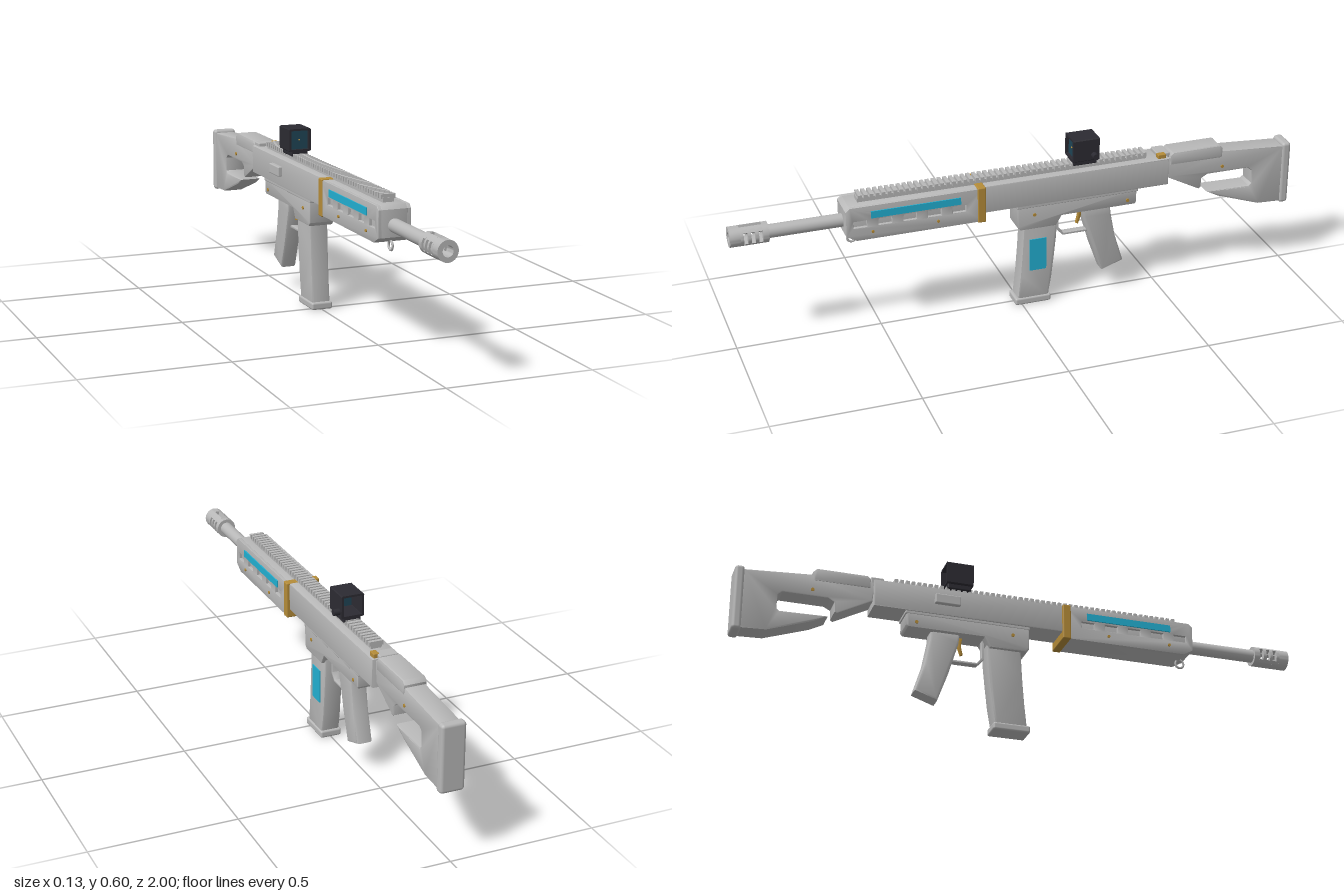
import * as THREE from 'three';
import { mergeGeometries, toCreasedNormals } from 'three/addons/utils/BufferGeometryUtils.js';
import { RoundedBoxGeometry } from 'three/addons/geometries/RoundedBoxGeometry.js';

const material = (name, color) => Object.assign(new THREE.MeshStandardMaterial({ color }), { name });

// Side profile of [z, y] points, extruded across x and centred, with rounded edges
function profile(points, width, bevel = 0.006, holes = []) {
  const shape = new THREE.Shape(points.map(p => new THREE.Vector2(...p)));
  for (const h of holes) shape.holes.push(new THREE.Path(h.map(p => new THREE.Vector2(...p))));
  const depth = width - 2 * bevel;
  const g = new THREE.ExtrudeGeometry(shape, {
    depth, bevelEnabled: bevel > 0, bevelThickness: bevel, bevelSize: bevel,
    bevelOffset: -bevel, bevelSegments: 2,
  });
  g.translate(0, 0, -depth / 2).rotateY(-Math.PI / 2);
  return toCreasedNormals(g, 0.75);
}
const rect = (z0, z1, y0, y1) => [[z0, y0], [z1, y0], [z1, y1], [z0, y1]];

// Rounded box given by its limits
function block(x0, x1, y0, y1, z0, z1, r = 0.004) {
  const g = r ? new RoundedBoxGeometry(x1 - x0, y1 - y0, z1 - z0, 2, r)
    : new THREE.BoxGeometry(x1 - x0, y1 - y0, z1 - z0);
  return g.translate((x0 + x1) / 2, (y0 + y1) / 2, (z0 + z1) / 2);
}
const rod = (r, z0, z1, y) => new THREE.CylinderGeometry(r, r, z1 - z0, 32)
  .rotateX(Math.PI / 2).translate(0, y, (z0 + z1) / 2);
const pin = (r, x0, x1, y, z) => new THREE.CylinderGeometry(r, r, x1 - x0, 16)
  .rotateZ(Math.PI / 2).translate((x0 + x1) / 2, y, z);

// Part of a tube wall around the barrel axis, angles in degrees
function sector(a0, a1, z0, z1, ro, ri, y) {
  const s = new THREE.Shape(), a = a0 * Math.PI / 180, b = a1 * Math.PI / 180;
  s.absarc(0, 0, ro, a, b, false);
  s.absarc(0, 0, ri, b, a, true);
  const g = new THREE.ExtrudeGeometry(s, { depth: z1 - z0, bevelEnabled: false, curveSegments: 16 });
  return toCreasedNormals(g.translate(0, y, z0), 0.6);
}

export function createModel() {
  const root = new THREE.Group();
  root.name = 'rifle';
  const grey = material('body grey', 0xb8b8b8);
  const gold = material('gold', 0xb58c38);
  const cyan = material('cyan', 0x22b0d2);
  const dark = material('sight black', 0x2c2b32);
  const glass = material('lens teal', 0x1f4556);
  const add = (name, geometry, mat = grey) => {
    const m = new THREE.Mesh(geometry, mat);
    m.name = name;
    root.add(m);
    return m;
  };
  const axis = 0.42;

  // Barrel and slotted muzzle brake
  add('barrel', rod(0.023, 0.58, 0.885, axis));
  const brake = [sector(0, 360, 0.87, 0.89, 0.035, 0.018, axis), sector(0, 360, 0.965, 1, 0.035, 0.018, axis)];
  for (let i = 0; i < 3; i++) {
    const z = 0.89 + i * 0.025;
    for (const [a, b] of [[35, 76], [104, 145], [215, 325]])
      brake.push(sector(a, b, z, z + 0.014, 0.035, 0.018, axis));
    brake.push(sector(104, 436, z + 0.014, z + 0.025, 0.035, 0.018, axis));
  }
  add('muzzleBrake', mergeGeometries(brake));

  // Handguard: core with slotted side plates
  const guard = [[0.145, 0.362], [0.585, 0.362], [0.62, 0.382], [0.62, 0.472], [0.606, 0.485], [0.145, 0.485]];
  add('handguardCore', profile(guard, 0.092, 0.003));
  const slots = [0, 1, 2, 3, 4].map(i => rect(0.207 + i * 0.0855, 0.253 + i * 0.0855, 0.41, 0.433));
  for (const s of [1, -1]) {
    add('handguardSide', profile(guard, 0.014, 0.003, slots)).position.x = s * 0.05;
    add('handguardStripe', block(-0.003, 0.003, 0.44, 0.465, 0.225, 0.535, 0), cyan).position.x = s * 0.058;
    for (const z of [0.305, 0.53])
      add('handguardRivet', pin(0.005, -0.003, 0.003, 0.39, z), gold).position.x = s * 0.058;
  }
  add('handguardBand', block(-0.061, 0.061, 0.36, 0.489, 0.137, 0.166), gold);
  const loop = new THREE.TorusGeometry(0.015, 0.004, 10, 24).rotateY(Math.PI / 2);
  add('slingLoop', loop.translate(0, 0.35, 0.59));

  // Upper and lower receiver
  add('upperReceiver', profile(rect(-0.53, 0.145, 0.388, 0.487), 0.1, 0.005));
  add('lowerReceiver', profile([[0.02, 0.392], [0.02, 0.308], [0.008, 0.295], [-0.12, 0.295],
    [-0.14, 0.33], [-0.408, 0.33], [-0.415, 0.338], [-0.415, 0.392]], 0.09));
  add('receiverLip', block(-0.046, 0.046, 0.378, 0.392, -0.419, 0.022, 0.003));
  for (const s of [1, -1]) for (const z of [-0.04, -0.38])
    add('receiverPin', pin(0.006, -0.003, 0.003, 0.35, z), gold).position.x = s * 0.045;
  add('boltCover', block(-0.064, -0.045, 0.425, 0.46, -0.32, -0.23));

  // Charging handle at the rear of the receiver
  add('chargingHandle', block(-0.037, 0.028, 0.475, 0.5, -0.54, -0.495));
  add('chargingLatch', block(0.02, 0.041, 0.483, 0.502, -0.522, -0.492, 0.003), gold);

  // Top rail with cross teeth
  const rail = [block(-0.019, 0.019, 0.482, 0.5, -0.455, 0.57, 0)];
  for (let i = 0; i < 51; i++) {
    const z = -0.455 + i * 0.0202;
    rail.push(block(-0.025, 0.025, 0.496, 0.511, z, z + 0.0125, 0));
  }
  add('topRail', mergeGeometries(rail));

  // Magazine, its side plate and base
  add('magazine', profile([[-0.006, 0.32], [-0.006, 0.29], [-0.001, 0.2], [0.006, 0.11], [0.016, 0.015],
    [-0.096, 0.015], [-0.109, 0.09], [-0.118, 0.17], [-0.126, 0.25], [-0.128, 0.32]], 0.066, 0.007));
  add('magazineBase', block(-0.038, 0.038, 0, 0.026, -0.105, 0.025, 0.007));
  add('magazinePlate', block(0.031, 0.036, 0.13, 0.25, -0.087, -0.027, 0), cyan);

  // Grip, trigger and trigger guard
  add('grip', profile([[-0.222, 0.34], [-0.226, 0.3], [-0.262, 0.18], [-0.298, 0.08],
    [-0.377, 0.107], [-0.345, 0.21], [-0.328, 0.3], [-0.325, 0.34]], 0.058, 0.009));
  add('triggerGuard', profile([[-0.132, 0.335], [-0.132, 0.262], [-0.155, 0.237], [-0.245, 0.237],
    [-0.245, 0.244], [-0.158, 0.244], [-0.14, 0.265], [-0.14, 0.335]], 0.026, 0.001));
  add('trigger', profile([[-0.208, 0.335], [-0.213, 0.3], [-0.206, 0.27], [-0.214, 0.268],
    [-0.225, 0.3], [-0.224, 0.335]], 0.014, 0.002), gold);

  // Stock with an open cut-out, cheek rest and butt pad
  add('stock', profile([[-0.525, 0.483], [-0.532, 0.408], [-0.652, 0.345], [-0.66, 0.35], [-0.662, 0.385],
    [-0.684, 0.397], [-0.838, 0.397], [-0.853, 0.385], [-0.855, 0.335], [-0.845, 0.327], [-0.682, 0.33],
    [-0.73, 0.304], [-0.885, 0.25], [-0.972, 0.246], [-0.972, 0.462], [-0.75, 0.477], [-0.72, 0.483]], 0.074, 0.005));
  add('cheekRest', profile([[-0.54, 0.455], [-0.735, 0.455], [-0.738, 0.488], [-0.725, 0.501],
    [-0.55, 0.501], [-0.54, 0.49]], 0.08, 0.006));
  add('buttPad', block(-0.042, 0.042, 0.24, 0.473, -1, -0.967, 0.011));
  add('stockPin', pin(0.006, -0.04, 0.04, 0.42, -0.738), gold);

  // Reflex sight: hollow housing, lens, aiming dot, mount and knob
  const house = new THREE.Shape();
  const corner = (c, x, y, k) => [[-x + k, -y], [x - k, -y], [x, -y + k], [x, y - k], [x - k, y],
    [-x + k, y], [-x, y - k], [-x, -y + k]].forEach((p, i) => c[i ? 'lineTo' : 'moveTo'](...p));
  corner(house, 0.04, 0.04, 0.003);
  const opening = new THREE.Path();
  corner(opening, 0.032, 0.033, 0.001);
  house.holes.push(opening);
  const housing = new THREE.ExtrudeGeometry(house, { depth: 0.095, bevelEnabled: false });
  add('sightHousing', housing.translate(0, 0.56, -0.275), dark);
  add('sightLens', block(-0.033, 0.033, 0.526, 0.594, -0.195, -0.19, 0), glass);
  add('aimingDot', new THREE.SphereGeometry(0.003, 12, 8).translate(0, 0.56, -0.189), gold);
  add('sightMount', block(-0.031, 0.031, 0.503, 0.524, -0.27, -0.185, 0.004), dark);
  add('sightKnob', pin(0.011, 0.038, 0.062, 0.54, -0.255), dark);

  return root;
}
